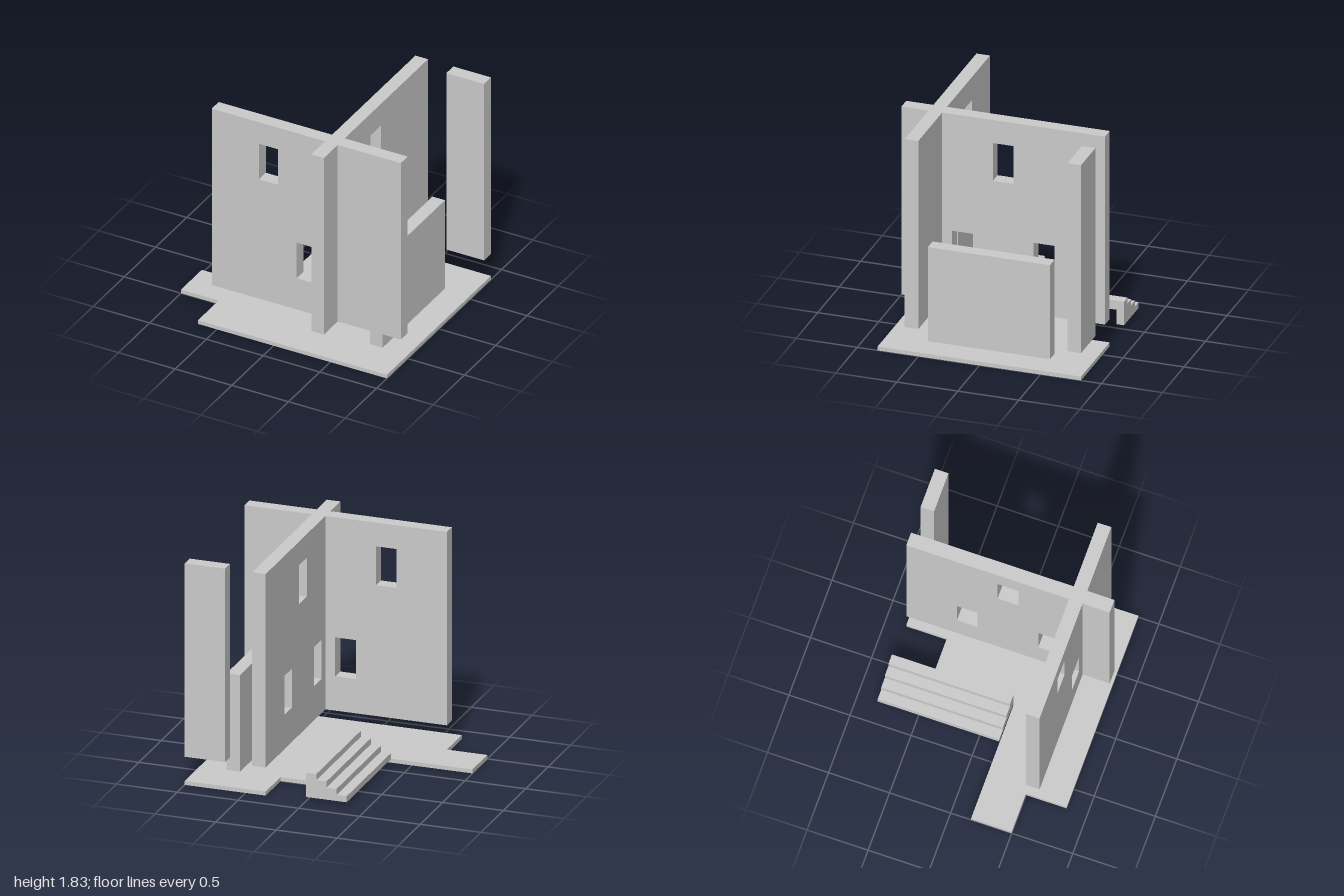
import * as THREE from 'three';

const material = new THREE.MeshStandardMaterial({ color: 0xcccccc, flatShading: true });
const T = 0.111;                       // wall thickness
const FLOOR = 0.033, LOW = 0.233, TOP = 1.833;
const END = 0.833;

function add(parent, name, geometry) {
  const mesh = new THREE.Mesh(geometry, material);
  mesh.name = name;
  parent.add(mesh);
  return mesh;
}

// Box given by its limits on each axis
function box(parent, name, [x0, x1], [y0, y1], [z0, z1]) {
  const g = new THREE.BoxGeometry(x1 - x0, y1 - y0, z1 - z0);
  g.translate((x0 + x1) / 2, (y0 + y1) / 2, (z0 + z1) / 2);
  return add(parent, name, g);
}

const polygon = (points) => new THREE.Shape(points.map(([x, y]) => new THREE.Vector2(x, y)));
const rect = (x0, x1, y0, y1) => polygon([[x0, y0], [x1, y0], [x1, y1], [x0, y1]]);
const extrude = (shape, depth) => new THREE.ExtrudeGeometry(shape, { depth, bevelEnabled: false });

// Wall panel with windows given by centre and storey
function wallPanel(from, to, windows = []) {
  const shape = rect(from, to, LOW, TOP);
  for (const [c, upper] of windows) {
    const y = upper ? 1.315 : 0.517;
    shape.holes.push(rect(c - 0.085, c + 0.085, y, y + 0.322));
  }
  return extrude(shape, T);
}

export function createModel() {
  const model = new THREE.Group();
  model.name = 'house';

  // Floor slab with stepped outline (x, z)
  const outline = [[-0.667, END], [1, END], [1, -END], [0.333, -END], [0.333, -0.5],
    [0, -0.5], [0, 0.167], [-1, 0.167], [-1, 0.5], [-0.667, 0.5]];
  const slab = extrude(polygon(outline.map(([x, z]) => [x, -z])), FLOOR);
  slab.rotateX(-Math.PI / 2);
  add(model, 'floorSlab', slab);

  // Crossing walls
  const walls = new THREE.Group();
  walls.name = 'crossingWalls';
  model.add(walls);
  add(walls, 'longWall', wallPanel(-0.667, 1, [[-0.167, true], [0.167, false]])).position.z = 0.5;
  const wings = [
    ['backWing', -END, 0.5, [[0, true], [-0.333, false], [0.333, false]]],
    ['frontWing', 0.5 + T, END, []],
  ];
  for (const [name, z0, z1, windows] of wings) {
    const g = wallPanel(z0, z1, windows);
    g.rotateY(-Math.PI / 2);
    add(walls, name, g).position.x = 0.333 + T;
  }

  // Raised corner panel and low wall
  box(model, 'cornerPanel', [0.667, 1], [LOW, TOP], [-END, -END + T]);
  box(model, 'lowWall', [0.667, 0.667 + T], [FLOOR, 0.833], [-0.5, 0.5]);

  // Stairs: treads carried by three stringers, open from below
  const stairs = new THREE.Group();
  stairs.name = 'stairs';
  model.add(stairs);
  const run = 0.333 / 4, rise = 0.05, z0 = -END, z1 = 0.163, beam = 0.06;
  const profile = [[0, FLOOR], [-4 * run, FLOOR]];
  for (let i = 0; i < 4; i++) {
    const x = -(4 - i) * run, y = FLOOR + (i + 1) * rise;
    profile.push([x, y], [x + run, y]);
  }
  const starts = [z0, (z0 + z1 - beam) / 2, z1 - beam];
  for (const z of starts) {
    add(stairs, 'stringer', extrude(polygon(profile), beam)).position.z = z;
  }
  for (let i = 0; i < 4; i++) {
    const x = -(4 - i) * run, y = FLOOR + i * rise;
    for (let k = 0; k < 2; k++) {
      box(stairs, 'tread', [x, x + run], [y, y + rise], [starts[k] + beam, starts[k + 1]]);
    }
  }
  return model;
}
